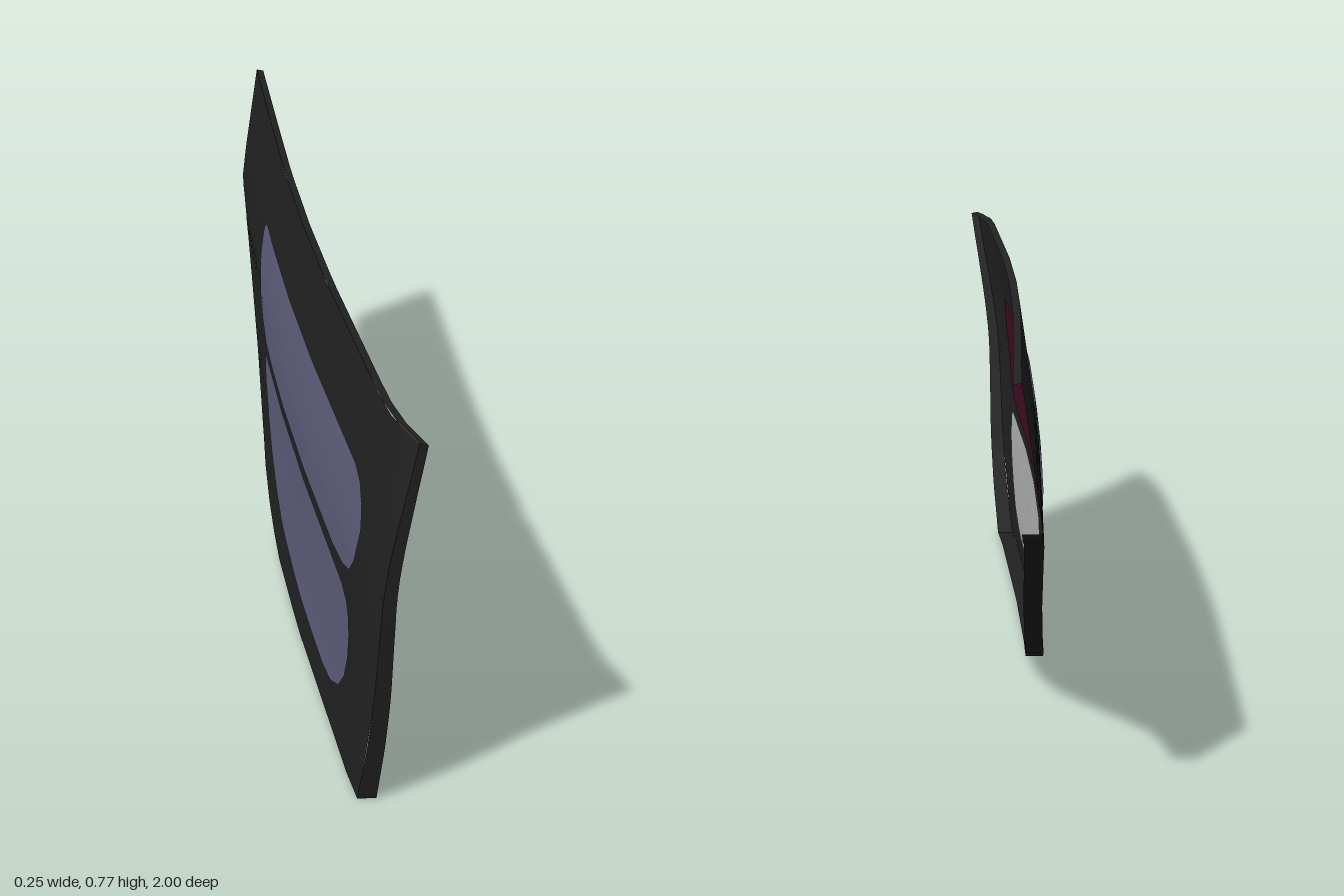
import * as THREE from 'three';

const mat = (name, color) => {
  const m = new THREE.MeshStandardMaterial({ color, side: THREE.DoubleSide });
  m.name = name;
  return m;
};

// piecewise linear lookup through [input, output] pairs, input rising
function lookup(pts, t) {
  if (t <= pts[0][0]) return pts[0][1];
  for (let i = 1; i < pts.length; i++) {
    if (t <= pts[i][0]) {
      const [a, va] = pts[i - 1], [b, vb] = pts[i];
      return va + (vb - va) * (t - a) / (b - a);
    }
  }
  return pts[pts.length - 1][1];
}

// sideways bow along the length, and lean over the height
const BOW = [[-1, -0.127], [-0.6, -0.108], [-0.3, -0.093], [0, -0.071], [0.3, -0.042],
  [0.6, -0.006], [0.8, 0.018], [0.887, 0.032], [0.95, 0.052], [1, 0.07]];
const LEAN = [[0, -0.012], [0.12, -0.004], [0.25, 0], [0.45, 0], [0.51, 0.004], [0.58, 0.012], [0.772, 0.04]];
const surfaceX = (z, y) => lookup(BOW, z) + lookup(LEAN, y);

function gridGeometry(cols, rows, point, flip) {
  const pos = [], idx = [];
  for (let i = 0; i <= cols; i++) for (let j = 0; j <= rows; j++) pos.push(...point(i, j));
  for (let i = 0; i < cols; i++) for (let j = 0; j < rows; j++) {
    const a = i * (rows + 1) + j, b = a + rows + 1;
    if (flip) idx.push(a, a + 1, b, b, a + 1, b + 1);
    else idx.push(a, b, a + 1, b, b + 1, a + 1);
  }
  const g = new THREE.BufferGeometry();
  g.setAttribute('position', new THREE.Float32BufferAttribute(pos, 3));
  g.setIndex(idx);
  g.computeVertexNormals();
  return g;
}

// curved sheet between a lower and an upper edge, both given as [z, y] points
function sheet(lower, upper, offset) {
  const zs = [...lower, ...upper].map(p => p[0]);
  const z0 = Math.min(...zs), z1 = Math.max(...zs);
  for (let i = 0; i <= 60; i++) zs.push(z0 + (z1 - z0) * i / 60);
  const cols = [...new Set(zs)].sort((a, b) => a - b);
  const rows = 16;
  return gridGeometry(cols.length - 1, rows, (i, j) => {
    const z = cols[i], lo = lookup(lower, z), hi = lookup(upper, z);
    const y = lo + (hi - lo) * j / rows;
    return [surfaceX(z, y) + offset, y, z];
  }, offset >= 0);
}

// lip turned towards +x along an edge; width runs from w0 to w1
function lip(edge, w0, w1) {
  const pts = [];
  for (let i = 0; i < edge.length - 1; i++) for (let k = 0; k < 6; k++) {
    const t = k / 6;
    pts.push(edge[i].map((v, n) => v + (edge[i + 1][n] - v) * t));
  }
  pts.push(edge[edge.length - 1]);
  const n = pts.length - 1;
  return gridGeometry(n, 1, (i, j) => {
    const [z, y] = pts[i];
    return [surfaceX(z, y) + j * (w0 + (w1 - w0) * i / n), y - j * 0.003 * (y > 0.7 ? 1 : 0), z];
  }, false);
}

export function createModel() {
  const group = new THREE.Group();
  const black = mat('black trim', 0x222222);
  const maroon = mat('maroon', 0x440e26);
  const red = mat('red', 0x6c1022);
  const grey = mat('light grey', 0xb8b8b8);
  const violet = mat('violet grey', 0x5e5e7c);
  const add = (name, geometry, material) => {
    const m = new THREE.Mesh(geometry, material);
    m.name = name;
    group.add(m);
  };

  // main panel
  const bottomEdge = [[-1, 0.515], [-0.98, 0.495], [-0.94, 0.485], [-0.87, 0.462], [-0.8, 0.428],
    [-0.7, 0.36], [-0.6, 0.285], [-0.5, 0.21], [-0.4, 0.138], [-0.3, 0.08], [-0.2, 0.04],
    [-0.1, 0.018], [0, 0.007], [0.2, 0], [0.887, 0]];
  const frontEdge = [[0.887, 0], [0.925, 0.2], [0.955, 0.4], [0.98, 0.6], [1, 0.772]];
  const topEdge = [[-1, 0.772], [-0.5, 0.772], [0, 0.772], [0.5, 0.772], [1, 0.772]];
  add('panel', sheet([...bottomEdge, ...frontEdge.slice(1)], topEdge, 0), black);

  // turned lips around the panel
  add('bottomLip', lip(bottomEdge, 0.035, 0.035), black);
  add('frontLip', lip(frontEdge, 0.035, 0.015), black);
  add('topLip', lip(topEdge, 0.015, 0.015), black);

  // inlays, as lower and upper edges
  const upperLow = [[-0.47, 0.52], [-0.46, 0.485], [-0.43, 0.44], [-0.38, 0.402], [-0.3, 0.378], [-0.2, 0.37],
    [0.6, 0.374], [0.7, 0.386], [0.77, 0.41], [0.81, 0.45], [0.835, 0.52]];
  const upperHigh = [[-0.47, 0.56], [-0.462, 0.585], [-0.44, 0.602], [-0.4, 0.608],
    [0.74, 0.608], [0.79, 0.597], [0.82, 0.57], [0.835, 0.53]];
  const lowerLow = [[-0.325, 0.315], [-0.31, 0.285], [-0.25, 0.22], [-0.18, 0.17], [-0.08, 0.125], [0.05, 0.098],
    [0.2, 0.084], [0.4, 0.077], [0.54, 0.076], [0.62, 0.088], [0.69, 0.12], [0.74, 0.17], [0.763, 0.22], [0.77, 0.27]];
  const lowerHigh = [[-0.325, 0.33], [-0.315, 0.346], [-0.29, 0.352], [0.2, 0.35], [0.7, 0.345],
    [0.745, 0.333], [0.764, 0.31], [0.77, 0.28]];
  add('upperInlay', sheet(upperLow, upperHigh, 0.003), maroon);
  add('lowerInlay', sheet(lowerLow, lowerHigh, 0.003), grey);
  add('upperBacking', sheet(upperLow, upperHigh, -0.003), violet);
  add('lowerBacking', sheet(lowerLow, lowerHigh, -0.003), violet);

  // narrow-waisted patch on the upper inlay
  add('patch', sheet(
    [[-0.105, 0.53], [-0.08, 0.464], [-0.05, 0.463], [0.17, 0.475], [0.37, 0.461], [0.395, 0.466], [0.43, 0.54]],
    [[-0.105, 0.545], [-0.095, 0.558], [-0.04, 0.557], [0.17, 0.542], [0.38, 0.557], [0.42, 0.558], [0.43, 0.55]],
    0.006), red);

  return group;
}
